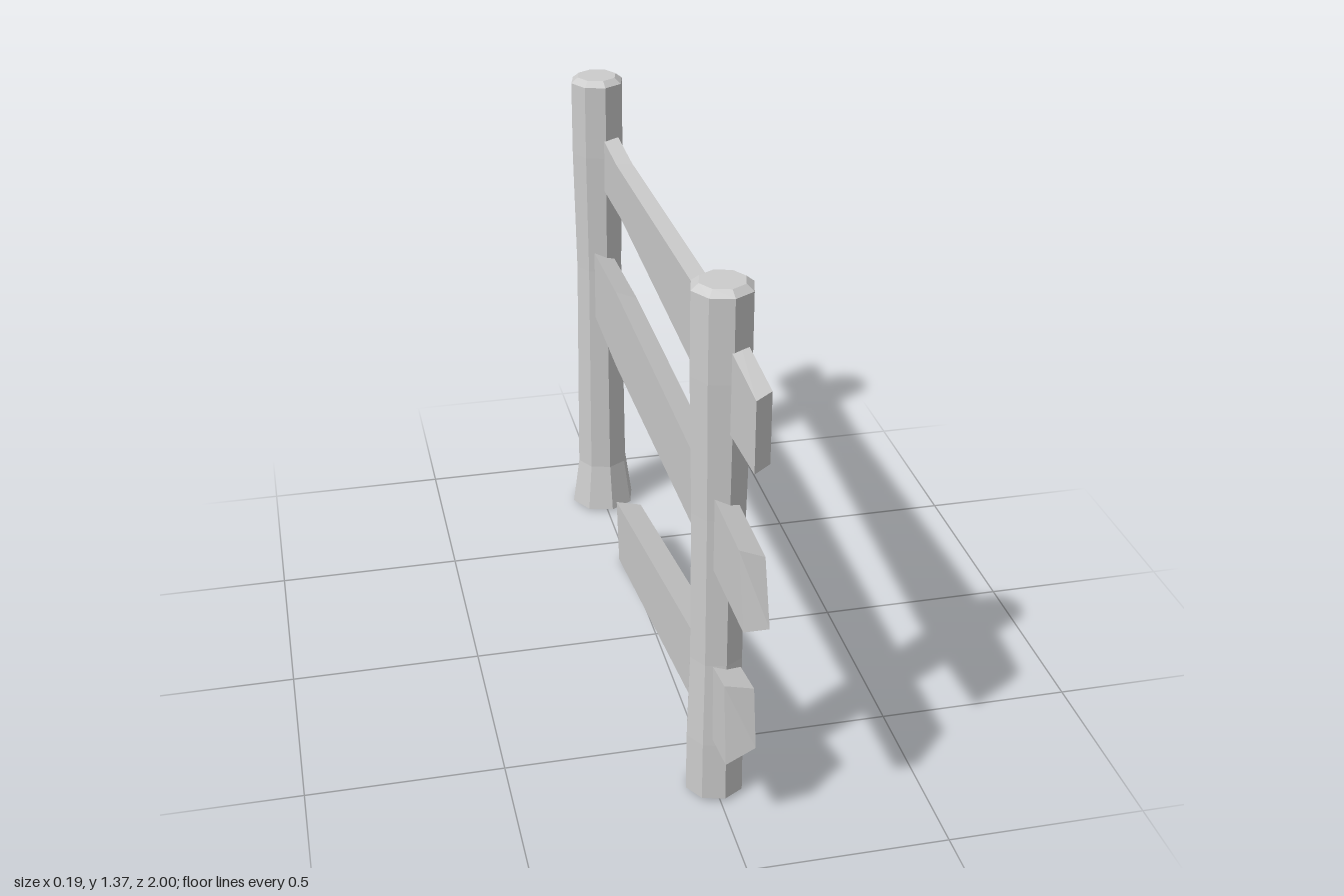
import * as THREE from 'three';

const material = new THREE.MeshStandardMaterial({ color: 0xcccccc, flatShading: true });

// Eight-sided post turned from a [radius, height] profile
function post(name, z, profile) {
  const points = profile.map(([r, y]) => new THREE.Vector2(r, y));
  const geometry = new THREE.LatheGeometry(points, 8, THREE.MathUtils.degToRad(8)).toNonIndexed();
  geometry.computeVertexNormals();
  const mesh = new THREE.Mesh(geometry, material);
  mesh.name = name;
  mesh.position.z = z;
  return mesh;
}

// Board lofted along z. Each station: [zTop, yTop, zBottom, yBottom, zShift of the x1 side].
// topDrop lowers the x1 top edge, bottomRise lifts the x1 bottom edge.
function board(name, x0, x1, topDrop, bottomRise, stations) {
  const rings = stations.map(([zt, yt, zb, yb, shift = 0]) => [
    [x0, yt, zt],
    [x1, yt - topDrop, zt + shift],
    [x1, yb + bottomRise, zb + shift],
    [x0, yb, zb],
  ]);
  const positions = [];
  const quad = (a, b, c, d) => positions.push(...a, ...b, ...c, ...a, ...c, ...d);
  const first = rings[0], last = rings[rings.length - 1];
  quad(first[0], first[3], first[2], first[1]);
  quad(last[0], last[1], last[2], last[3]);
  for (let i = 0; i < rings.length - 1; i++) {
    for (let k = 0; k < 4; k++) {
      const n = (k + 1) % 4;
      quad(rings[i][k], rings[i][n], rings[i + 1][n], rings[i + 1][k]);
    }
  }
  const geometry = new THREE.BufferGeometry();
  geometry.setAttribute('position', new THREE.Float32BufferAttribute(positions, 3));
  geometry.computeVertexNormals();
  const mesh = new THREE.Mesh(geometry, material);
  mesh.name = name;
  return mesh;
}

export function createModel() {
  const group = new THREE.Group();
  group.name = 'fence';

  // Posts with a slight waist and a chamfered top; the rear one flares at its foot
  const upper = [[0.068, 0.8], [0.075, 1.15], [0.075, 1.357], [0.056, 1.372], [0, 1.372]];
  group.add(post('frontPost', 0.673, [[0, 0.01], [0.075, 0.01], [0.074, 0.17], [0.067, 0.4], ...upper]));
  group.add(post('rearPost', -0.772, [[0, 0.01], [0.095, 0.01], [0.075, 0.15], ...upper]));

  // Top rail, with a bevelled front end
  group.add(board('topRail', 0.005, 0.05, 0, 0, [
    [0.95, 1.215, 0.95, 1.04, -0.037],
    [0.57, 1.24, 0.57, 1.015],
    [-0.53, 1.195, -0.47, 1.06],
    [-1, 1.215, -1, 1.04],
  ]));

  // Middle rail, with a sloping top and a slanted front end
  group.add(board('middleRail', -0.025, 0.035, 0.025, 0, [
    [0.95, 0.855, 1, 0.675],
    [-0.4, 0.872, -0.4, 0.642],
    [-1, 0.845, -1, 0.665],
  ]));

  // Fallen bottom rail, hanging from the front post to the ground
  group.add(board('fallenRail', -0.022, 0.05, 0.018, 0.038, [
    [0.838, 0.417, 0.866, 0.21],
    [-0.435, 0.18, -0.405, 0],
  ]));

  return group;
}
